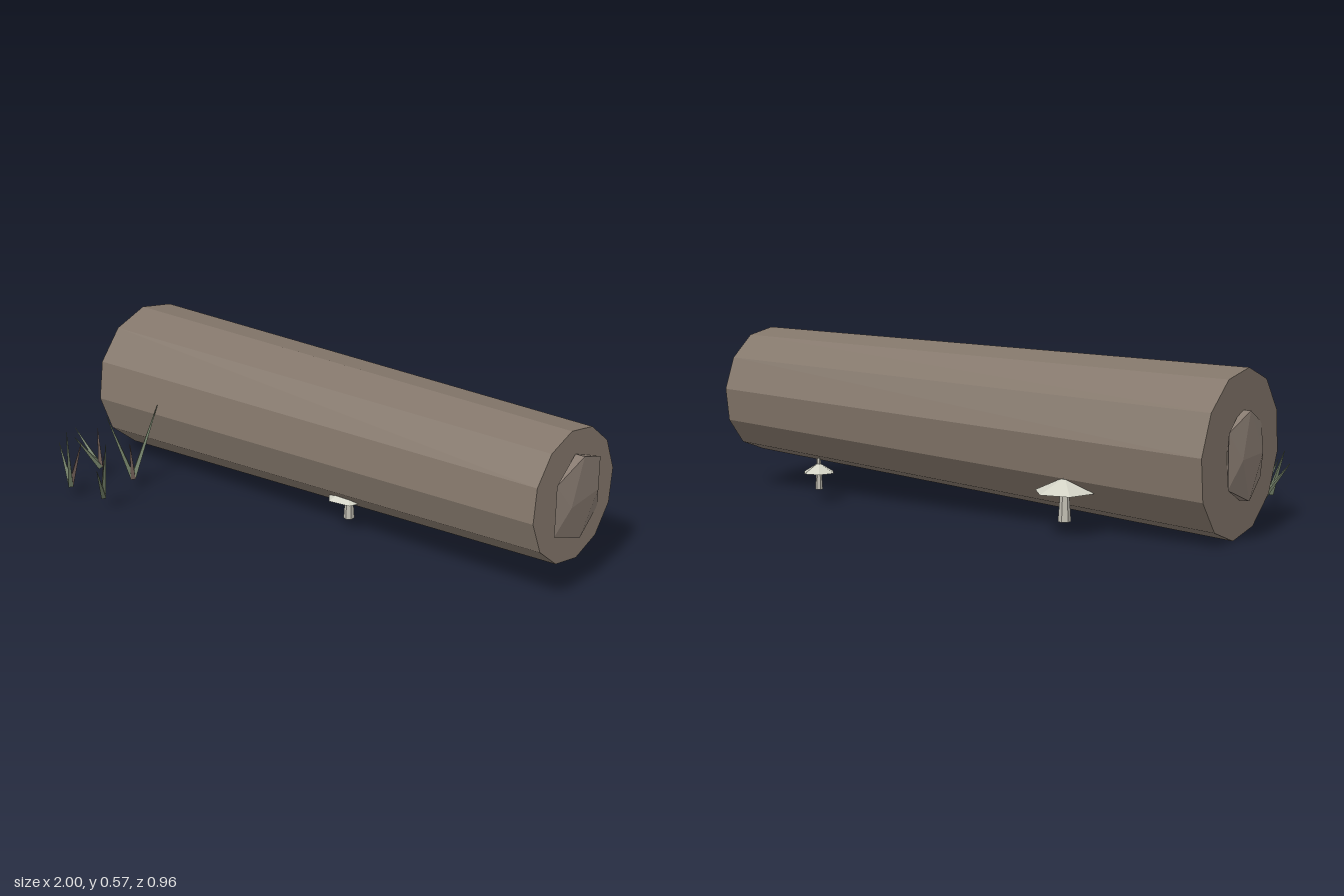
import * as THREE from 'three';

const flat = (name, color) => {
  const m = new THREE.MeshStandardMaterial({ color, flatShading: true });
  m.name = name;
  return m;
};

export function createModel() {
  const bark = flat('bark', 0x83766a);
  const heartwood = flat('heartwood', 0x877a70);
  const capMat = flat('mushroom cap', 0xd2d2c5);
  const stemMat = flat('mushroom stem', 0xbfbcb1);
  const green = flat('grass green', 0x74826a);
  const dry = flat('dry grass', 0x705e57);

  const model = new THREE.Group();
  model.name = 'fallenLog';
  const up = new THREE.Vector3(0, 1, 0);

  // Stretches a tapered cylinder between two points
  function rod(name, mat, from, to, r0, r1, sides, parent) {
    const a = new THREE.Vector3(...from);
    const d = new THREE.Vector3(...to).sub(a);
    const mesh = new THREE.Mesh(new THREE.CylinderGeometry(r1, r0, d.length(), sides), mat);
    mesh.name = name;
    mesh.position.copy(a).addScaledVector(d, 0.5);
    mesh.quaternion.setFromUnitVectors(up, d.normalize());
    parent.add(mesh);
  }

  // Tapered trunk, thicker on the -x end
  const thick = [-0.96, 0.274, -0.205];
  const thin = [0.96, 0.351, -0.034];
  rod('trunk', bark, thick, thin, 0.272, 0.226, 12, model);

  // Flattened faceted bulge in each cut end
  for (const [name, x, y, z] of [['thickEndCore', -0.973, 0.272, -0.205], ['thinEndCore', 0.973, 0.352, -0.033]]) {
    const core = new THREE.Mesh(new THREE.IcosahedronGeometry(0.167, 0), heartwood);
    core.name = name;
    core.scale.x = 0.19;
    core.position.set(x, y, z);
    model.add(core);
  }

  // Mushrooms: x, z, stem radius, stem top, cap radius, cap bottom, cap top
  const ground = 0.045;
  const mushrooms = [
    [0.115, 0.002, 0.019, 0.19, 0.08, 0.126, 0.17],
    [0.567, -0.28, 0.013, 0.155, 0.058, 0.104, 0.139],
    [-0.44, -0.385, 0.021, 0.196, 0.1, 0.141, 0.188],
  ];
  for (const [x, z, r, top, capR, y0, y1] of mushrooms) {
    const g = new THREE.Group();
    g.name = 'mushroom';
    rod('stem', stemMat, [x, ground, z], [x, top, z], r, r * 0.5, 6, g);
    const cap = new THREE.Mesh(new THREE.ConeGeometry(capR, y1 - y0, 6), capMat);
    cap.name = 'cap';
    cap.position.set(x, (y0 + y1) / 2, z);
    cap.rotation.y = 0.62;
    g.add(cap);
    model.add(g);
  }

  // Grass tufts: base x, z, then blade tips
  const tufts = [
    [-0.875, 0.195, [[-0.975, 0.185, 0.215], [-0.91, 0.185, 0.285], [-0.885, 0.2, 0.19]]],
    [-0.85, 0.38, [[-0.77, 0.305, 0.465], [-0.9, 0.2, 0.375], [-0.785, 0.23, 0.38]]],
    [-0.69, 0.38, [[-0.585, 0.305, 0.465], [-0.62, 0.2, 0.48], [-0.64, 0.23, 0.42]]],
    [-0.71, 0.2, [[-0.685, 0.3, 0.08], [-0.76, 0.3, 0.27], [-0.7, 0.19, 0.22]]],
  ];
  for (const [x, z, tips] of tufts) {
    const g = new THREE.Group();
    g.name = 'grassTuft';
    tips.forEach((tip, i) => {
      rod('blade', i === 2 ? dry : green, [x, ground, z], tip, 0.012, 0.001, 4, g);
    });
    model.add(g);
  }
  return model;
}
